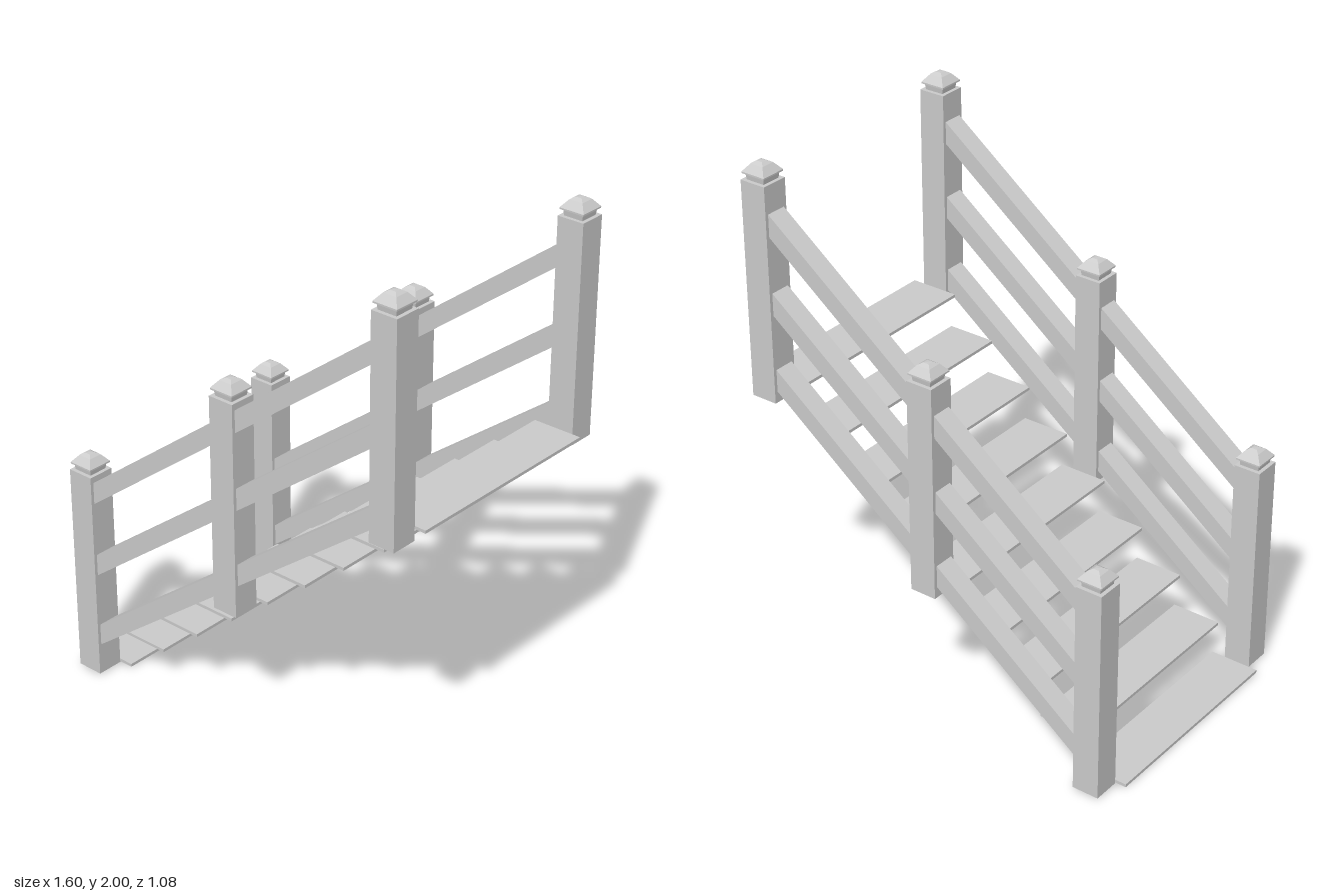
import * as THREE from 'three';

export function createModel() {
  const group = new THREE.Group();
  group.name = 'staircase';
  const mat = new THREE.MeshStandardMaterial({ color: 0xcccccc, flatShading: true });

  const add = (name, geometry, x, y, z) => {
    const mesh = new THREE.Mesh(geometry, mat);
    mesh.name = name;
    mesh.position.set(x, y, z);
    group.add(mesh);
    return mesh;
  };

  const SPACING = 0.708, RISE = 0.5425, POST_W = 0.106, POST_H = 0.84, SIDE_Z = 0.485;
  const SLOPE = RISE / SPACING;

  // Treads: nine thin open steps
  const treadGeo = new THREE.BoxGeometry(0.195, 0.012, 0.846);
  for (let i = 0; i < 9; i++) add('tread', treadGeo, -0.7025 + i * 0.1756, 0.006 + i * 0.141, 0);

  // Square post cap: flared neck, overhanging brim, stepped pyramid (half-width, height)
  const profile = [
    [0, 0], [0.038, 0], [0.041, 0.024], [0.05, 0.024], [0.05, 0.03],
    [0.027, 0.058], [0.012, 0.067], [0, 0.068],
  ].map(([r, y]) => new THREE.Vector2(r * Math.SQRT2, y));
  const capGeo = new THREE.LatheGeometry(profile, 4).rotateY(Math.PI / 4);
  const postGeo = new THREE.BoxGeometry(POST_W, POST_H, POST_W);

  // Sloping rail with vertical ends: a sheared box
  const railLength = SPACING - POST_W;
  const railGeo = new THREE.BoxGeometry(railLength, 0.087, 0.08);
  const pos = railGeo.attributes.position;
  for (let i = 0; i < pos.count; i++) pos.setY(i, pos.getY(i) + pos.getX(i) * SLOPE);
  railGeo.computeVertexNormals();

  for (const side of [-1, 1]) {
    const z = side * SIDE_Z;
    // Posts and caps
    for (let i = 0; i < 3; i++) {
      const x = (i - 1) * SPACING, base = 0.005 + i * RISE;
      add('post', postGeo, x, base + POST_H / 2, z);
      add('postCap', capGeo, x, base + POST_H, z);
    }
    // Three rails in each bay
    for (let bay = 0; bay < 2; bay++) {
      for (let r = 0; r < 3; r++) {
        const y = 0.173 + r * 0.302 + (railLength / 2) * SLOPE + bay * RISE;
        add('rail', railGeo, (bay - 0.5) * SPACING, y, z);
      }
    }
  }
  return group;
}
